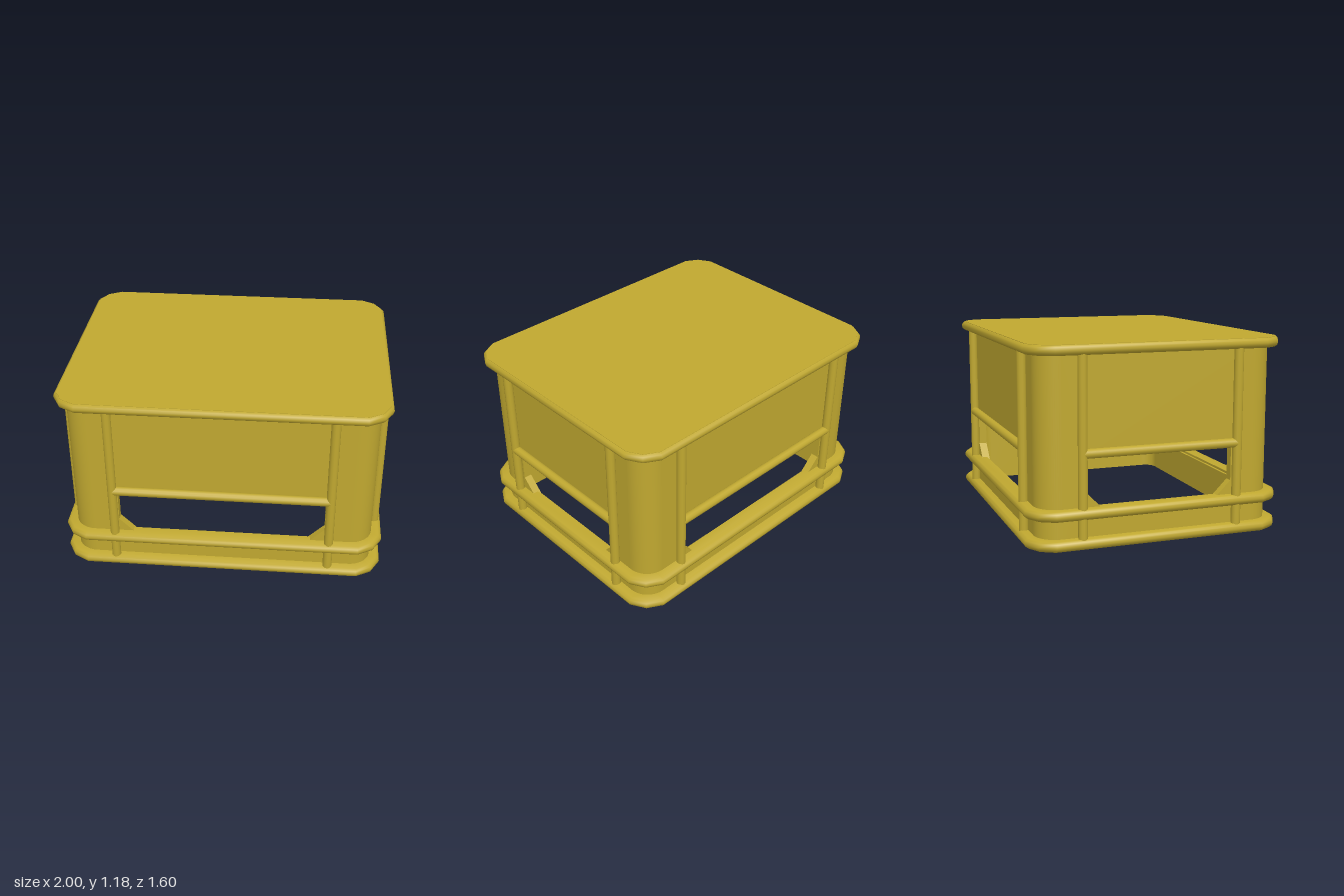
import * as THREE from 'three';
import { toCreasedNormals } from 'three/addons/utils/BufferGeometryUtils.js';

const SX = [1, -1, -1, 1], SY = [1, 1, -1, -1];
const WALL_X = 0.935, WALL_Z = 0.735, THICK = 0.05, RADIUS = 0.135, WALL_TOP = 1.13;

// Rounded-rectangle outline, two facets per corner, pulled in by d (x, -z pairs)
function outline(d) {
  const pts = [], r = 0.15 - d;
  for (let k = 0; k < 4; k++) {
    const cx = 0.85 * SX[k], cy = 0.65 * SY[k];
    const start = k % 2 === 0 ? [SX[k], 0] : [0, SY[k]];
    const end = k % 2 === 0 ? [0, SY[k]] : [SX[k], 0];
    for (const [ux, uy] of [start, [0.64 * SX[k], 0.64 * SY[k]], end])
      pts.push(new THREE.Vector2(cx + ux * r, cy + uy * r));
  }
  return pts;
}

// Rounded band swept around the outline, starting at height y0
function bandGeometry(y0) {
  const profile = [[0.1, 0], [0.022, 0], [0.006, 0.012], [0, 0.03], [0.006, 0.048], [0.022, 0.06], [0.1, 0.06]];
  const loops = profile.map(([d, y]) => outline(d).map(p => [p.x, y0 + y, -p.y]));
  const pos = [], m = loops.length, n = loops[0].length;
  for (let j = 0; j < m; j++)
    for (let i = 0; i < n; i++) {
      const lo = loops[j], hi = loops[(j + 1) % m], i2 = (i + 1) % n;
      pos.push(...lo[i], ...lo[i2], ...hi[i2], ...lo[i], ...hi[i2], ...hi[i]);
    }
  const g = new THREE.BufferGeometry();
  g.setAttribute('position', new THREE.Float32BufferAttribute(pos, 3));
  return toCreasedNormals(g, 1.0);
}

// Straight wall with a window whose lower corners are chamfered
function panelGeometry(half, win) {
  const s = new THREE.Shape();
  s.moveTo(-half, 0.005).lineTo(half, 0.005).lineTo(half, WALL_TOP).lineTo(-half, WALL_TOP).closePath();
  const bottom = 0.22, top = 0.54, cut = 0.1;
  const h = new THREE.Path();
  h.moveTo(-win + cut, bottom).lineTo(-win, bottom + cut).lineTo(-win, top);
  h.lineTo(win, top).lineTo(win, bottom + cut).lineTo(win - cut, bottom).closePath();
  s.holes.push(h);
  return new THREE.ExtrudeGeometry(s, { depth: THICK, bevelEnabled: false });
}

// Quarter-round wall corner
function cornerGeometry(k) {
  const cx = (WALL_X - RADIUS) * SX[k], cy = (WALL_Z - RADIUS) * SY[k], a = k * Math.PI / 2;
  const s = new THREE.Shape();
  s.absarc(cx, cy, RADIUS, a, a + Math.PI / 2, false);
  s.absarc(cx, cy, RADIUS - THICK, a + Math.PI / 2, a, true);
  s.closePath();
  const g = new THREE.ExtrudeGeometry(s, { depth: WALL_TOP - 0.005, bevelEnabled: false, curveSegments: 8 });
  g.rotateX(-Math.PI / 2).translate(0, 0.005, 0);
  return toCreasedNormals(g, 0.6);
}

export function createModel() {
  const model = new THREE.Group();
  model.name = 'crate';
  const mustard = new THREE.MeshStandardMaterial({ color: 0xc0a830 });
  mustard.name = 'mustard';
  const add = (parent, geometry, name) => {
    const mesh = new THREE.Mesh(geometry, mustard);
    mesh.name = name;
    parent.add(mesh);
    return mesh;
  };

  // Bands and closed top
  add(model, bandGeometry(0), 'bottomBand');
  add(model, bandGeometry(0.175), 'middleBand');
  add(model, bandGeometry(1.115), 'topBand');
  const lid = new THREE.ExtrudeGeometry(new THREE.Shape(outline(0.02)), { depth: 0.056, bevelEnabled: false });
  lid.rotateX(-Math.PI / 2).translate(0, 1.12, 0);
  add(model, lid, 'topPlate');

  // Rounded corners
  for (let k = 0; k < 4; k++) add(model, cornerGeometry(k), 'wallCorner');

  // Four sides: panel, two upright ribs and a bar above the window
  const sides = [
    ['frontSide', 0, WALL_X, WALL_Z, 0.64],
    ['leftSide', 1, WALL_Z, WALL_X, 0.455],
    ['backSide', 2, WALL_X, WALL_Z, 0.64],
    ['rightSide', 3, WALL_Z, WALL_X, 0.455],
  ];
  for (const [name, turn, half, out, win] of sides) {
    const side = new THREE.Group();
    side.name = name;
    side.rotation.y = turn * Math.PI / 2;
    add(side, panelGeometry(half - RADIUS, win), 'wallPanel').position.z = out - THICK;
    const r = 0.0285, z = out + 0.0225;
    for (const s of [-1, 1])
      add(side, new THREE.CylinderGeometry(r, r, 1.11, 12), 'uprightRib').position.set(s * (win + r), 0.575, z);
    const bar = add(side, new THREE.CylinderGeometry(r, r, 2 * (win + r), 12), 'windowBar');
    bar.rotation.z = Math.PI / 2;
    bar.position.set(0, 0.553, z);
    model.add(side);
  }
  return model;
}
